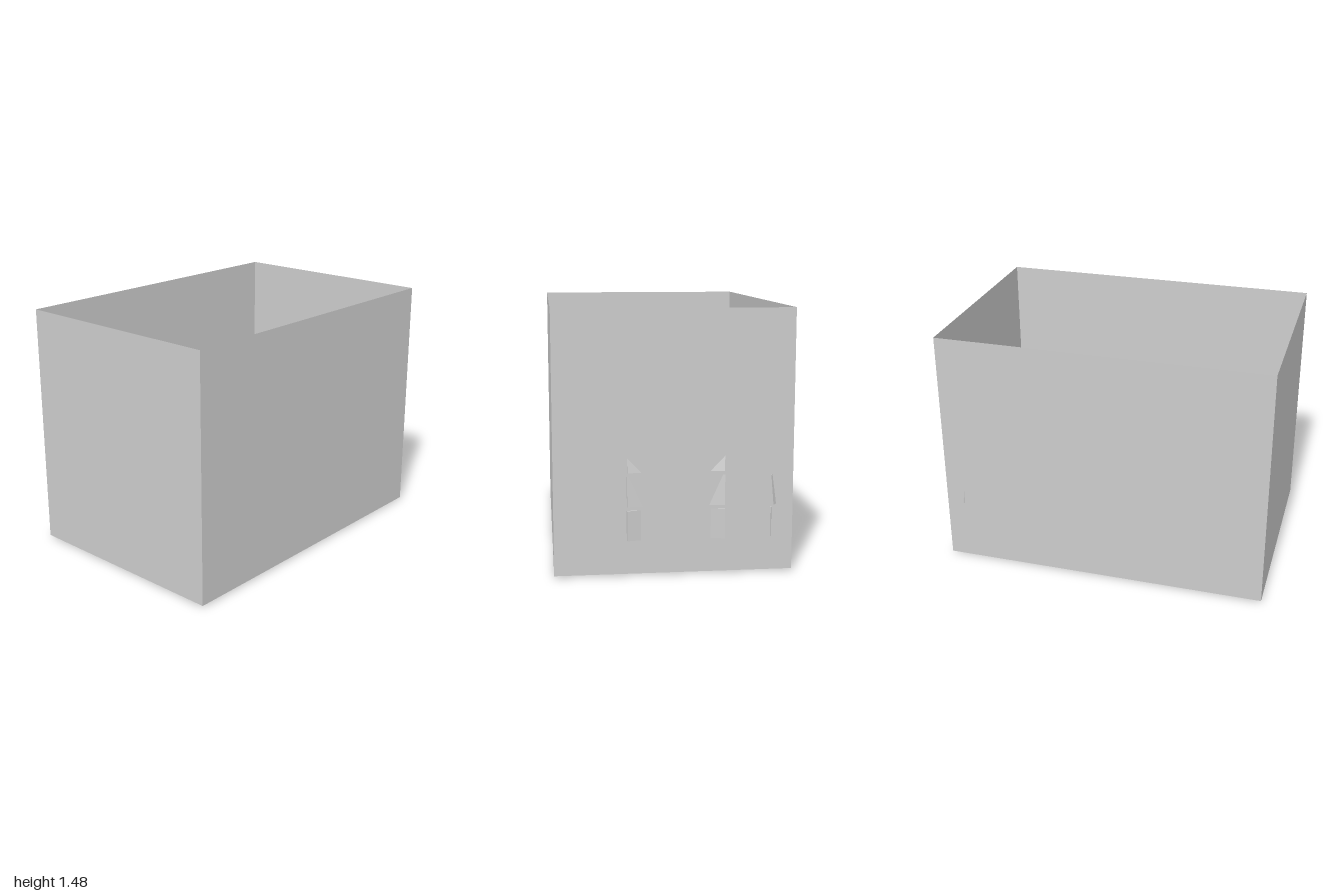
import * as THREE from 'three';

const grey = new THREE.MeshStandardMaterial({ color: 0xcccccc, side: THREE.DoubleSide, flatShading: true });
grey.name = 'plain grey';

function add(parent, name, geometry, x = 0, y = 0, z = 0, ry = 0) {
  const mesh = new THREE.Mesh(geometry, grey);
  mesh.name = name;
  mesh.position.set(x, y, z);
  mesh.rotation.y = ry;
  parent.add(mesh);
  return mesh;
}

// Box given by its limits on each axis
function block(parent, name, x0, x1, y0, y1, z0, z1) {
  return add(parent, name, new THREE.BoxGeometry(x1 - x0, y1 - y0, z1 - z0),
    (x0 + x1) / 2, (y0 + y1) / 2, (z0 + z1) / 2);
}

// Boxy monitor with a raised bezel around a recessed screen
function monitor(parent, name, x, y, z, yaw, tilt) {
  const w = 0.175, h = 0.17, d = 0.135, rim = 0.015, lip = 0.012;
  const group = new THREE.Group();
  group.name = name;
  add(group, 'monitorBody', new THREE.BoxGeometry(w, h, d - lip), 0, 0, -lip / 2);
  const rect = (target, a, b) => target.moveTo(-a, -b).lineTo(a, -b).lineTo(a, b).lineTo(-a, b).closePath();
  const frame = rect(new THREE.Shape(), w / 2, h / 2);
  frame.holes.push(rect(new THREE.Path(), w / 2 - rim, h / 2 - rim));
  add(group, 'monitorBezel', new THREE.ExtrudeGeometry(frame, { depth: lip, bevelEnabled: false }), 0, 0, d / 2 - lip);
  group.position.set(x, y, z);
  group.rotation.set(tilt, yaw, 0, 'YXZ');
  parent.add(group);
}

export function createModel() {
  const model = new THREE.Group();
  model.name = 'controlRoom';

  // Room shell, open at the top
  const W = 1.334, L = 1.985, H = 1.47, base = 0.01, midZ = 0.0075;
  add(model, 'floor', new THREE.PlaneGeometry(W, L).rotateX(-Math.PI / 2), 0, base, midZ);
  for (const s of [-1, 1]) {
    add(model, s > 0 ? 'frontWall' : 'backWall', new THREE.PlaneGeometry(W, H),
      0, base + H / 2, midZ + s * L / 2, s > 0 ? Math.PI : 0);
    add(model, s > 0 ? 'leftWall' : 'rightWall', new THREE.PlaneGeometry(L, H),
      s * W / 2, base + H / 2, midZ, -s * Math.PI / 2);
  }

  // Console with a sloping riser at the back wall
  const side = new THREE.Shape([[-0.975, base], [-0.67, base], [-0.67, 0.09], [-0.8, 0.09], [-0.865, 0.2], [-0.975, 0.2]]
    .map(([z, y]) => new THREE.Vector2(-z, y)));
  const consoleGeo = new THREE.ExtrudeGeometry(side, { depth: 0.73, bevelEnabled: false }).rotateY(Math.PI / 2);
  add(model, 'console', consoleGeo, -0.38, 0, 0);

  // Bank of monitors, three rows by three columns, upper rows leaning forward
  const rows = [[0.285, 0, 0], [0.47, 0.08, 0.005], [0.655, 0.17, 0.013]];
  for (const [y, tilt, forward] of rows) {
    for (const c of [-1, 0, 1]) {
      monitor(model, 'bankMonitor', -0.01 + c * 0.198, y, -0.907 - Math.abs(c) * 0.01 + forward, c * 0.18, tilt);
    }
  }

  // Wall clock
  add(model, 'clockRim', new THREE.TorusGeometry(0.065, 0.01, 4, 8), -0.01, 0.92, -0.975);
  add(model, 'clockFace', new THREE.CircleGeometry(0.065, 8), -0.01, 0.92, -0.978);

  // Side desk with monitors and flat items
  block(model, 'sideDesk', -0.662, -0.403, base, 0.2, -0.95, 0.1);
  monitor(model, 'cornerMonitorLower', -0.553, 0.285, -0.88, 0.82, 0);
  monitor(model, 'cornerMonitorUpper', -0.558, 0.465, -0.89, 0.82, 0.1);
  monitor(model, 'deskMonitor', -0.535, 0.295, -0.67, -0.38, -0.25);
  add(model, 'keyboard', new THREE.BoxGeometry(0.105, 0.012, 0.17), -0.575, 0.206, -0.355, -0.08);
  add(model, 'papers', new THREE.BoxGeometry(0.105, 0.012, 0.175), -0.578, 0.206, -0.158);

  // Cabinet on the floor beside the desk
  block(model, 'floorCabinet', -0.585, -0.473, base, 0.2, 0.14, 0.43);

  // Six-sided open bin
  add(model, 'bin', new THREE.CylinderGeometry(0.118, 0.09, 0.2, 6, 1, true), 0.517, 0.11, -0.83);
  add(model, 'binBottom', new THREE.CircleGeometry(0.09, 6, Math.PI / 2).rotateX(-Math.PI / 2), 0.517, 0.02, -0.83);

  // Board along the long wall
  block(model, 'wallBoard', 0.61, 0.652, 0.35, 0.7, -0.525, 0.252);

  // Pedestal table with papers and a small handset
  block(model, 'tableTop', 0.312, 0.664, 0.2, 0.225, 0.34, 0.86);
  add(model, 'tableLeg', new THREE.CylinderGeometry(0.025, 0.025, 0.21, 8), 0.49, 0.105, 0.6);
  block(model, 'tablePapers', 0.36, 0.46, 0.225, 0.235, 0.485, 0.678);
  add(model, 'tableFolder', new THREE.BoxGeometry(0.108, 0.01, 0.175), 0.554, 0.23, 0.585, -0.02);
  const handset = new THREE.CylinderGeometry(0.02, 0.035, 0.025, 8);
  handset.scale(1, 1, 0.58);
  add(model, 'handset', handset, 0.415, 0.237, 0.748);

  return model;
}
